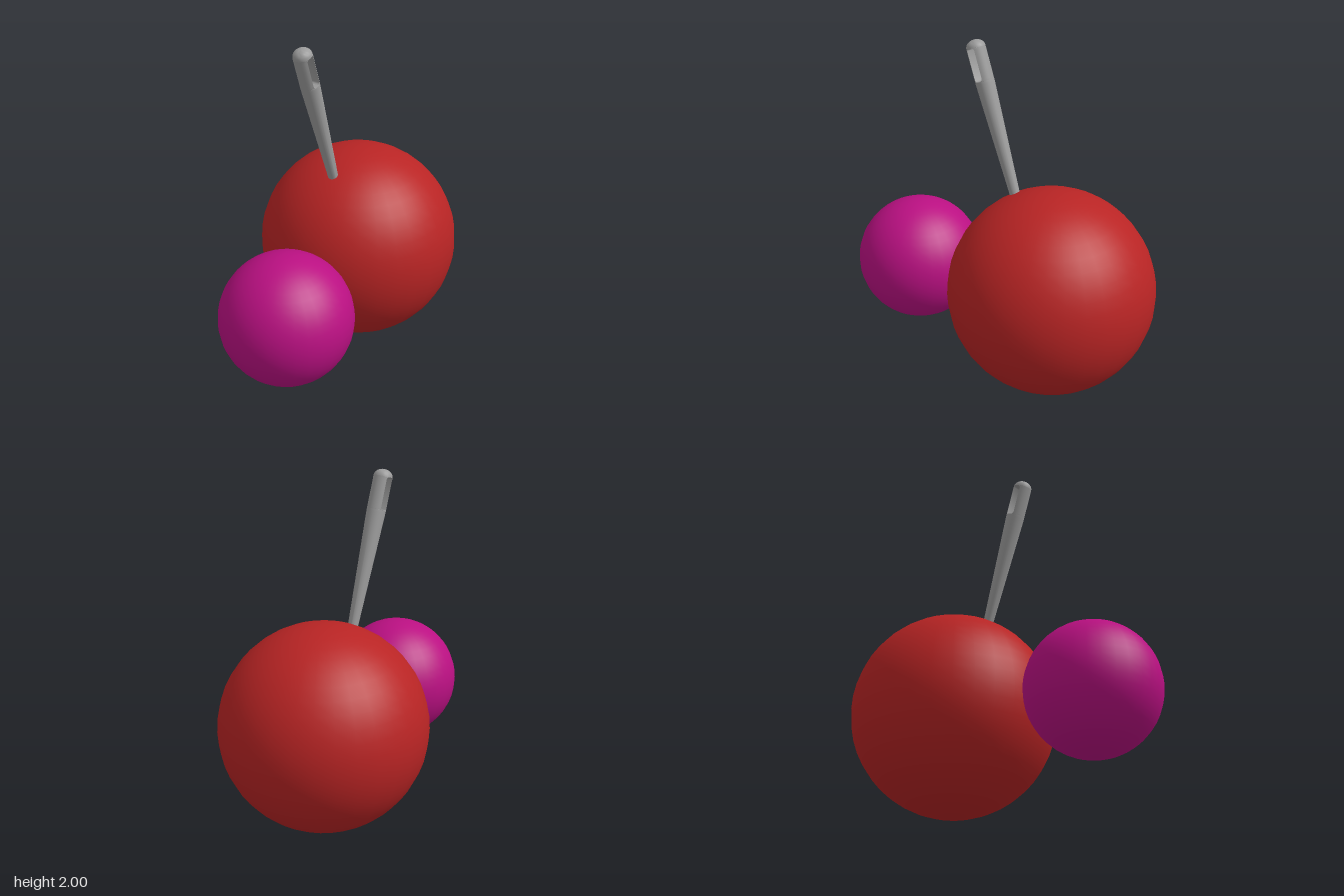
import * as THREE from 'three';
import { toCreasedNormals } from 'three/addons/utils/BufferGeometryUtils.js';

const red = new THREE.MeshStandardMaterial({ name: 'red', color: 0xb82424 });
const magenta = new THREE.MeshStandardMaterial({ name: 'magenta', color: 0xba1082 });
const steel = new THREE.MeshStandardMaterial({ name: 'steel grey', color: 0x9c9c9c });

const RADIUS = 0.055;      // needle radius around the eye
const EYE_BOTTOM = -0.177; // eye limits along the needle axis
const EYE_TOP = 0.012;
const SIDES = 24;

function add(parent, name, geometry, material) {
  const mesh = new THREE.Mesh(geometry, material);
  mesh.name = name;
  parent.add(mesh);
  return mesh;
}

function lathe(points) {
  const profile = points.map(([r, y]) => new THREE.Vector2(r, y));
  return toCreasedNormals(new THREE.LatheGeometry(profile, SIDES), 0.7);
}

// One wall beside the eye: a round segment cut flat, filleted at both ends
function eyeWall() {
  const fillet = 0.015, steps = 4, arc = 10, rows = [];
  for (let k = 0; k <= steps; k++) {
    const a = (k / steps) * Math.PI / 2;
    rows.push([EYE_BOTTOM + fillet * (1 - Math.cos(a)), 0.012 + fillet * Math.sin(a)]);
  }
  for (let k = steps; k >= 0; k--) {
    const [y, h] = rows[k];
    rows.push([EYE_TOP + EYE_BOTTOM - y, h]);
  }
  const positions = [], index = [], n = arc + 1;
  rows.forEach(([y, h], j) => {
    const start = Math.asin(h / RADIUS);
    for (let i = 0; i < n; i++) {
      const a = start + (Math.PI - 2 * start) * i / arc;
      positions.push(RADIUS * Math.cos(a), y, RADIUS * Math.sin(a));
      if (j === 0) continue;
      const p = (j - 1) * n + i, q = (j - 1) * n + (i + 1) % n;
      index.push(p, p + n, q + n, p, q + n, q);
    }
  });
  const geometry = new THREE.BufferGeometry();
  geometry.setAttribute('position', new THREE.Float32BufferAttribute(positions, 3));
  geometry.setIndex(index);
  return toCreasedNormals(geometry, 0.6);
}

export function createModel() {
  const model = new THREE.Group();
  model.name = 'needleAndBalls';

  // Balls
  add(model, 'largeBall', new THREE.SphereGeometry(0.607, 32, 24), red).position.set(0, 0.609, -0.355);
  add(model, 'smallBall', new THREE.SphereGeometry(0.382, 32, 24), magenta).position.set(0.14, 0.565, 0.575);

  // Needle, leaning forward, with its tip buried in the large ball
  const needle = new THREE.Group();
  needle.name = 'needle';
  needle.position.set(0, 1.945, 0.205);
  needle.rotation.x = THREE.MathUtils.degToRad(19.3);
  model.add(needle);

  add(needle, 'needleShaft', lathe([
    [0, -0.95], [0.026, -0.95], [RADIUS, -0.19], [RADIUS, EYE_BOTTOM], [0, EYE_BOTTOM],
  ]), steel);

  // Rounded end above the eye
  const dome = [[0, EYE_TOP]];
  for (let k = 0; k <= 6; k++) {
    const a = (k / 6) * Math.PI / 2;
    dome.push([k === 6 ? 0 : RADIUS * Math.cos(a), EYE_TOP + 0.043 * Math.sin(a)]);
  }
  add(needle, 'needleHead', lathe(dome), steel);

  // Walls in front of and behind the eye
  const wall = eyeWall();
  add(needle, 'eyeWallFront', wall, steel);
  add(needle, 'eyeWallBack', wall, steel).rotation.y = Math.PI;

  return model;
}
